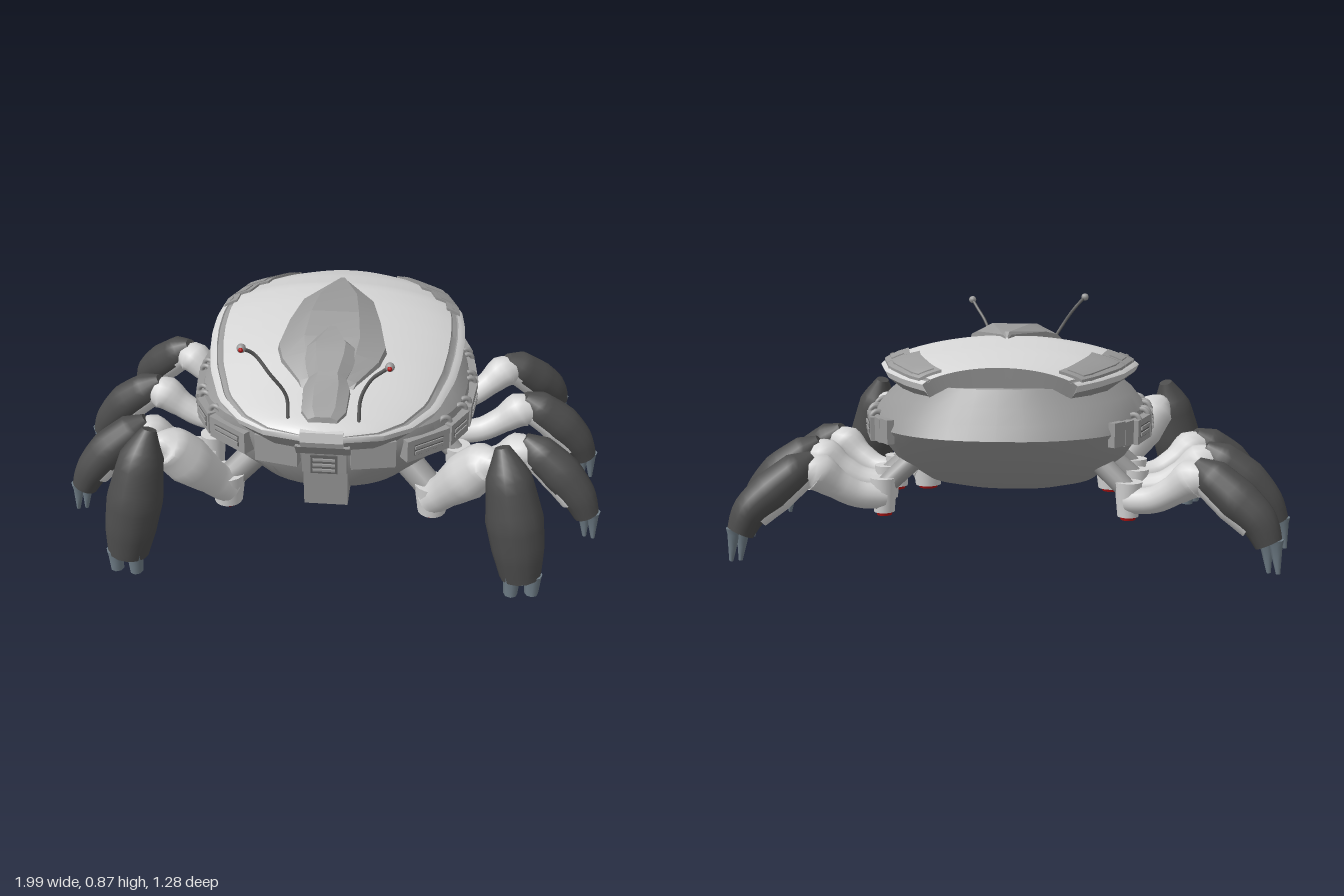
import * as THREE from 'three';
import { toCreasedNormals } from 'three/addons/utils/BufferGeometryUtils.js';

const mat = (name, color) => {
  const m = new THREE.MeshStandardMaterial({ color, side: THREE.DoubleSide });
  m.name = name;
  return m;
};

// Piecewise-linear lookup in column c of a table sorted by falling first column
function look(table, z, c) {
  if (z >= table[0][0]) return table[0][c];
  for (let i = 1; i < table.length; i++) {
    const a = table[i - 1], b = table[i];
    if (z >= b[0]) return a[c] + (b[c] - a[c]) * (a[0] - z) / (a[0] - b[0]);
  }
  return table[table.length - 1][c];
}

// Surface through rows of [x, y, z] points
function grid(rows, crease = 0.6) {
  const n = rows[0].length, idx = [];
  for (let i = 0; i < rows.length - 1; i++)
    for (let j = 0; j < n - 1; j++) {
      const a = i * n + j, b = a + n;
      idx.push(a, b, a + 1, a + 1, b, b + 1);
    }
  const g = new THREE.BufferGeometry();
  g.setAttribute('position', new THREE.Float32BufferAttribute(rows.flat(2), 3));
  g.setIndex(idx);
  return toCreasedNormals(g, crease);
}

// Round limb through stations [x, y, z, radius], closed at both ends
function limb(st, segs = 16, sides = 14) {
  const curve = new THREE.CatmullRomCurve3(st.map(s => new THREE.Vector3(s[0], s[1], s[2])));
  const fr = curve.computeFrenetFrames(segs, false), rows = [];
  const ring = (i, k) => {
    const t = i / segs, f = t * (st.length - 1), a = Math.min(Math.floor(f), st.length - 2);
    const r = k * THREE.MathUtils.lerp(st[a][3], st[a + 1][3], f - a), p = curve.getPoint(t);
    return Array.from({ length: sides + 1 }, (_, j) => {
      const w = (j % sides) / sides * Math.PI * 2;
      return p.clone().addScaledVector(fr.normals[i], r * Math.cos(w))
        .addScaledVector(fr.binormals[i], r * Math.sin(w)).toArray();
    });
  };
  rows.push(ring(0, 0));
  for (let i = 0; i <= segs; i++) rows.push(ring(i, 1));
  rows.push(ring(segs, 0));
  return grid(rows, 0.8);
}

// Shell stations: z, half width, rim height, crown height
const SHELL = [[0.545, 0.07, 0.55, 0.565], [0.51, 0.2, 0.545, 0.582], [0.45, 0.29, 0.545, 0.6],
  [0.35, 0.37, 0.555, 0.63], [0.2, 0.425, 0.585, 0.685], [0.1, 0.445, 0.61, 0.71], [0, 0.455, 0.63, 0.73],
  [-0.1, 0.455, 0.645, 0.745], [-0.2, 0.445, 0.65, 0.75], [-0.35, 0.4, 0.64, 0.72], [-0.45, 0.32, 0.625, 0.69],
  [-0.5, 0.25, 0.615, 0.672]];
const shellY = (x, z) => {
  const f = Math.min(1, Math.abs(x) / look(SHELL, z, 1)), rim = look(SHELL, z, 2);
  return rim + (look(SHELL, z, 3) - rim) * Math.pow(1 - f * f, 0.75);
};
const shellPoint = (z, f, off = 0) => {
  const x = f * look(SHELL, z, 1);
  return [x, shellY(x, z) + off, z];
};
const range = (a, b, n) => Array.from({ length: n + 1 }, (_, i) => a + (b - a) * i / n);

// Half width of the hull at its waist
const waist = z => 0.485 * Math.pow(1 - Math.pow(Math.abs(z) / (z > 0 ? 0.45 : 0.635), 2.4), 1 / 2.4);

export function createModel() {
  const light = mat('lightArmour', 0xd4d4d4), mid = mat('greyHull', 0x9a9a9a), dark = mat('darkArmour', 0x4c4c4c),
    steel = mat('clawSteel', 0x6f7d87), red = mat('redJoint', 0xb81414), black = mat('ventDark', 0x626262);
  const model = new THREE.Group(), left = new THREE.Group();
  const add = (name, geo, m, parent = model) => {
    const mesh = new THREE.Mesh(geo, m);
    mesh.name = name;
    parent.add(mesh);
    return mesh;
  };

  // Hull: stacked outlines [y, half width, front, back]
  const hull = [[0.2, 0, 0, 0], [0.2, 0.2, 0.3, 0.15], [0.235, 0.31, 0.36, 0.28], [0.33, 0.42, 0.42, 0.48],
    [0.41, 0.47, 0.44, 0.585], [0.455, 0.485, 0.45, 0.635], [0.5, 0.475, 0.45, 0.6], [0.55, 0.435, 0.41, 0.56],
    [0.605, 0.37, 0.2, 0.525], [0.605, 0, 0, 0]];
  add('hull', grid(hull.map(([y, w, f, b]) => range(0, 48, 48).map(i => {
    const a = (i % 48) / 48 * Math.PI * 2, c = Math.cos(a), s = Math.sin(a);
    return [w * Math.sign(c) * Math.abs(c) ** (2 / 2.4), y, (s > 0 ? f : b) * Math.sign(s) * Math.abs(s) ** (2 / 2.4)];
  })), 0.4), mid);

  // Shell: dome, ends, and on each side a groove, a lip and an underside
  const zs = [0.545, 0.53, ...range(0.51, -0.5, 34)];
  add('shellDome', grid(zs.map(z => range(-0.89, 0.89, 32).map(f => shellPoint(z, f)))), light);
  for (const [name, z, y] of [['shellFront', 0.545, 0.5], ['shellRear', -0.5, 0.56]]) {
    const edge = range(-1, 1, 24).map(f => shellPoint(z, f));
    add(name, grid([edge, edge.map(p => [p[0] * 0.9, y, z * 0.96])]), z > 0 ? light : mid);
  }
  add('shellGroove', grid(zs.map(z => [0.89, 0.9, 0.935, 0.945].map((f, i) => shellPoint(z, f, i % 3 ? -0.006 : 0)))), mid, left);
  add('shellLip', grid(zs.map(z => [...[0.945, 0.965, 0.985, 1].map(f => shellPoint(z, f)),
    [look(SHELL, z, 1) * 0.975, look(SHELL, z, 2) - 0.022, z * 0.99]])), light, left);
  add('shellUnderside', grid(zs.map(z => {
    const w = look(SHELL, z, 1), y = look(SHELL, z, 2);
    return [[w * 0.975, y - 0.022, z * 0.99], [w * 0.82, y - 0.075, z * 0.92], [w * 0.5, y - 0.09, z * 0.75]];
  })), mid, left);

  // Raised vent plates on the rear flanks of the shell
  for (const [z0, z1, f0] of [[-0.15, -0.2, 0.86], [-0.205, -0.29, 0.78], [-0.295, -0.485, 0.7]]) {
    const us = range(0, 1, 8), plate = (name, a, b, f, g, off) => add(name, grid([0, ...us, 1].map((u, i) =>
      [0, ...us, 1].map((v, j) => shellPoint(a + (b - a) * u, f + (g - f) * v,
        i % 10 && j % 10 ? off : -0.003)))), mid, left);
    plate('shellVent', z0, z1, f0, 0.97, 0.009);
    plate('shellVentInset', z0 - 0.012, z1 + 0.012, f0 + 0.05, 0.93, 0.013);
  }

  // Hood and head: plates on the crown, stations [z, half width, raise]
  const crest = (name, st) => add(name, grid(st.map(([z, w, h]) => {
    const side = s => [[s * w, shellY(w, z) - 0.01, z], [s * w * 0.96, shellY(w, z) + h * 0.5, z],
      [s * w * 0.5, shellY(w * 0.5, z) + h, z]];
    return [...side(-1), ...side(1).reverse()];
  }), 0.3), mid);
  crest('hood', [[-0.235, 0.004, 0.005], [-0.22, 0.015, 0.02], [-0.05, 0.13, 0.045], [0.08, 0.165, 0.062],
    [0.19, 0.19, 0.048], [0.25, 0.17, 0.036], [0.34, 0.1, 0.022], [0.37, 0.085, -0.01]]);
  crest('head', [[0.14, 0.004, 0.045], [0.16, 0.02, 0.062], [0.23, 0.1, 0.06], [0.27, 0.095, 0.054], [0.34, 0.065, 0.043],
    [0.38, 0.08, 0.035], [0.47, 0.075, 0.025], [0.505, 0.05, 0.018], [0.51, 0.045, -0.01]]);

  // Nose, chin and grille
  const prism = (name, pts, w, m) => {
    const g = new THREE.ExtrudeGeometry(new THREE.Shape(pts.map(p => new THREE.Vector2(...p))), { depth: w, bevelEnabled: false });
    add(name, g.translate(0, 0, -w / 2).rotateY(-Math.PI / 2), m);
  };
  prism('chin', [[0.2, 0.2], [0.42, 0.2], [0.435, 0.34], [0.465, 0.36], [0.475, 0.46], [0.2, 0.46]], 0.15, mid);
  prism('collar', [[0.3, 0.45], [0.49, 0.45], [0.53, 0.5], [0.3, 0.5]], 0.18, mid);
  prism('nose', [[0.3, 0.5], [0.53, 0.5], [0.55, 0.53], [0.55, 0.568], [0.3, 0.568]], 0.14, light);
  add('grille', new THREE.BoxGeometry(0.09, 0.07, 0.02), black).position.set(0, 0.4, 0.468);
  for (const y of [0.38, 0.4, 0.42]) add('grilleBar', new THREE.BoxGeometry(0.075, 0.008, 0.01), mid).position.set(0, y, 0.479);
  const cheek = add('cheekPlate', new THREE.BoxGeometry(0.15, 0.1, 0.04), mid, left);
  cheek.position.set(0.16, 0.43, 0.435);
  cheek.rotation.y = 0.2;

  // Waist band: panels with louvres, and small hooks above
  [[0.405, 0.3], [0.3, 0.195], [0.185, 0.01], [0, -0.195], [-0.205, -0.37], [-0.375, -0.43], [-0.43, -0.48]].forEach(([a, b], i) => {
    const xa = waist(a), xb = waist(b), len = Math.hypot(xa - xb, a - b), panel = new THREE.Group();
    panel.name = 'waistPanel';
    panel.position.set((xa + xb) / 2, 0.43 + i * 0.004, (a + b) / 2);
    panel.rotation.y = Math.atan2(xa - xb, a - b);
    add('panelPlate', new THREE.BoxGeometry(i < 5 ? 0.05 : 0.025, 0.08, len), mid, panel);
    if (i < 5) {
      add('louvreRecess', new THREE.BoxGeometry(0.008, 0.04, len * 0.68), black, panel).position.x = 0.0225;
      for (const y of [-0.01, 0.01])
        add('louvre', new THREE.BoxGeometry(0.012, 0.012, len * 0.66), mid, panel).position.set(0.025, y, 0);
    }
    left.add(panel);
  });
  for (const z of [0.3, 0.21, 0.165, 0.02, -0.025, -0.16, -0.2, -0.33]) {
    const hook = add('hook', new THREE.TorusGeometry(0.02, 0.009, 8, 12, Math.PI), mid, left);
    hook.position.set(waist(z) - 0.005, 0.48, z);
    hook.rotation.y = 0.35;
  }

  // Legs: hip stub, joint with red cap, pale arm, dark shin, steel claws
  const leg = (name, hip, [jx, jy, jz, jr], arm, shin, claws, taper) => {
    const g = new THREE.Group();
    g.name = name;
    add('hip', limb([[...hip, jr * 0.75], [jx, jy + 0.09, jz, jr * 0.7]], 3), mid, g);
    add('joint', new THREE.CylinderGeometry(jr * 0.95, jr * 0.72, 0.12, 16), light, g).position.set(jx, jy + 0.063, jz);
    add('jointCap', new THREE.CylinderGeometry(jr * 0.62, jr * 0.5, 0.018, 16), red, g).position.set(jx, jy, jz);
    add('arm', limb(arm), light, g);
    add('shin', limb(shin), dark, g);
    for (const [from, tip, r] of claws) add('claw', limb([[...from, r], [...tip, r * taper]], 3, 8), steel, g);
    left.add(g);
    return g;
  };
  leg('frontLeg', [0.27, 0.28, 0.24], [0.365, 0.11, 0.3, 0.07],
    [[0.365, 0.17, 0.3, 0.062], [0.41, 0.23, 0.34, 0.062], [0.48, 0.33, 0.39, 0.085], [0.54, 0.41, 0.43, 0.075], [0.57, 0.43, 0.47, 0.03]],
    [[0.58, 0.51, 0.485, 0.025], [0.605, 0.42, 0.515, 0.075], [0.635, 0.27, 0.54, 0.096], [0.655, 0.16, 0.555, 0.088], [0.67, 0.06, 0.565, 0.07]],
    [[0.64, 0.595], [0.71, 0.585], [0.68, 0.53]].map(([x, z]) => [[x, 0.08, z], [x, 0, z], 0.031]), 0.75);
  for (const [name, x0, z0, x1, z1, up] of [['secondLeg', 0.45, 0.11, 0.935, 0.255, 0],
    ['thirdLeg', 0.45, -0.09, 0.965, -0.135, 0], ['rearLeg', 0.42, -0.31, 0.885, -0.52, 0.02]]) {
    const at = (t, y, r) => [x0 + (x1 - x0) * t, y, z0 + (z1 - z0) * t, ...(r ? [r] : [])];
    const shin = [[0.47, 0.355, 0.025], [0.57, 0.315, 0.064], [0.75, 0.245, 0.073], [0.89, 0.165 + up, 0.062], [0.96, 0.095 + up, 0.046]];
    const g = leg(name, at(-0.2, 0.32), at(0, 0.145, 0.05),
      [at(0, 0.2, 0.045), at(0.18, 0.215, 0.046), at(0.32, 0.255, 0.05), at(0.45, 0.3, 0.068), at(0.57, 0.3, 0.045)],
      shin.map(s => at(...s)), [0.94, 1].map(t => [at(t, 0.11 + up), at(t + 0.025, up), 0.028]), 0.25);
    // Pale lining on the inner side of the shin
    add('shinLining', limb(shin.slice(1, 4).map(([t, y, r]) => at(t - 0.026, y - 0.012, r * 0.87))), light, g);
  }

  // Mirror the left side
  left.name = 'leftSide';
  const right = left.clone();
  right.name = 'rightSide';
  right.scale.x = -1;
  model.add(left, right);

  // Antennae, each bent a little differently
  for (const [s, tx, ty, tz] of [[1, 0.215, 0.835, 0.575], [-1, 0.25, 0.85, 0.525]]) {
    const path = new THREE.CatmullRomCurve3([[0.115, 0.57, 0.485], [0.12, 0.66, 0.48],
      [0.115 + (tx - 0.115) * 0.4, 0.75, 0.49 + (tz - 0.48) * 0.2], [0.115 + (tx - 0.115) * 0.75, ty - 0.035, tz - 0.03],
      [tx, ty, tz]].map(p => new THREE.Vector3(s * p[0], p[1], p[2])));
    add('antenna', new THREE.TubeGeometry(path, 20, 0.006, 8), black);
    add('antennaBud', new THREE.SphereGeometry(0.015, 12, 8), mid).position.set(s * tx, ty, tz);
    add('antennaTip', new THREE.SphereGeometry(0.008, 8, 6), red).position.set(s * tx, ty, tz + 0.012);
  }
  return model;
}
